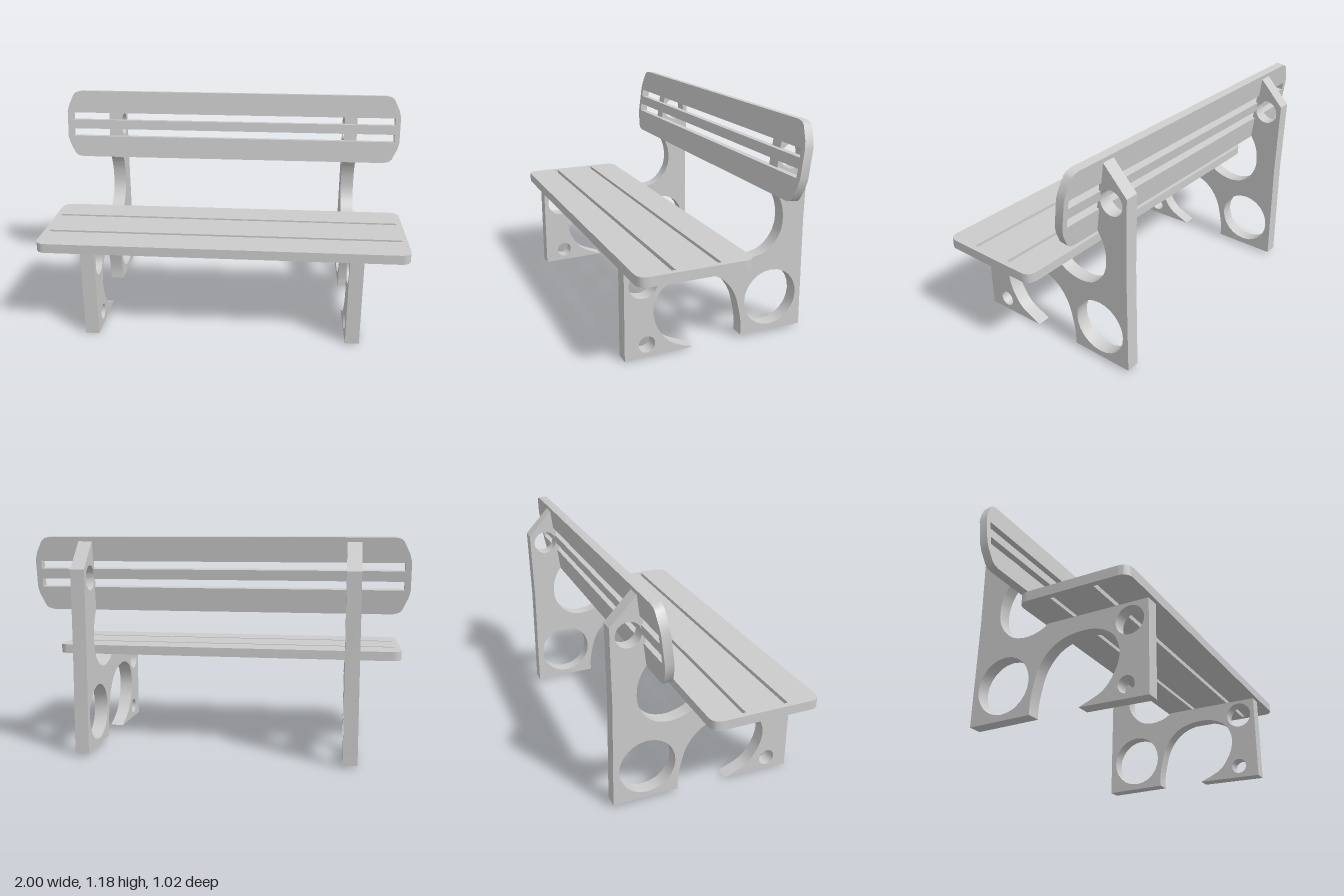
import * as THREE from 'three';
import { toCreasedNormals } from 'three/addons/utils/BufferGeometryUtils.js';

const material = new THREE.MeshStandardMaterial({ color: 0xcccccc });
const v2 = (list) => list.map(([x, y]) => new THREE.Vector2(x, y));

// Flat plate with its edges kept sharp and its curves smooth
function plate(shape, depth) {
  const geometry = new THREE.ExtrudeGeometry(shape, { depth, bevelEnabled: false, curveSegments: 12 });
  return toCreasedNormals(geometry, 0.5);
}

function addSlot(shape, halfWidth, low, high) {
  shape.holes.push(new THREE.Path(v2([
    [-halfWidth, low], [-halfWidth, high], [halfWidth, high], [halfWidth, low],
  ])));
}

function addMesh(group, name, geometry) {
  const mesh = new THREE.Mesh(geometry, material);
  mesh.name = name;
  group.add(mesh);
  return mesh;
}

// Side frame profile, drawn clockwise as (z, y)
function frameGeometry(thickness) {
  const s = new THREE.Shape();
  s.moveTo(0.492, 0);
  s.lineTo(0.125, 0.006);
  // Arch under the seat
  s.splineThru(v2([
    [0.245, 0.06], [0.305, 0.13], [0.334, 0.2], [0.336, 0.27], [0.3, 0.345], [0.22, 0.39],
    [0.13, 0.401], [0.03, 0.385], [-0.05, 0.34], [-0.11, 0.26], [-0.14, 0.16], [-0.153, 0.08], [-0.153, 0.018],
  ]));
  s.lineTo(-0.51, 0.014);
  s.lineTo(-0.503, 0.6);
  s.lineTo(-0.51, 1.004);
  s.lineTo(-0.365, 1.157);
  s.lineTo(-0.315, 0.79);
  s.lineTo(-0.33, 0.778);
  // Hollow between backrest and seat
  s.splineThru(v2([
    [-0.36, 0.725], [-0.377, 0.66], [-0.374, 0.58], [-0.34, 0.51],
    [-0.28, 0.46], [-0.2, 0.444], [-0.12, 0.46], [-0.065, 0.492],
  ]));
  s.lineTo(0.492, 0.492);
  s.closePath();
  // Round cut-outs, wound against the outline: z, y, radius
  for (const [z, y, r] of [
    [0.392, 0.396, 0.076], [0.374, 0.072, 0.044], [-0.323, 0.203, 0.154], [-0.417, 0.954, 0.067],
  ]) {
    s.holes.push(new THREE.Path().absarc(z, y, r, 0, Math.PI * 2, false));
  }
  return plate(s, thickness).translate(0, 0, -thickness / 2).rotateY(-Math.PI / 2);
}

// Slotted seat with rounded corners, drawn as (x, -z)
function seatGeometry() {
  const s = new THREE.Shape();
  const w = 0.99, front = -0.512, back = 0.086, r = 0.06;
  s.moveTo(-w + r, front);
  s.lineTo(w - r, front);
  s.quadraticCurveTo(w, front, w, front + r);
  s.lineTo(w, back - r);
  s.quadraticCurveTo(w, back, w - r, back);
  s.lineTo(-w + r, back);
  s.quadraticCurveTo(-w, back, -w, back - r);
  s.lineTo(-w, front + r);
  s.quadraticCurveTo(-w, front, -w + r, front);
  addSlot(s, 0.96, -0.102, -0.082);
  addSlot(s, 0.96, -0.338, -0.317);
  return plate(s, 0.051).rotateX(-Math.PI / 2);
}

// Slotted backrest with angled, softened ends
function backrestGeometry() {
  const h = 0.398, thickness = 0.046;
  const end = [[0.915, 0], [0.945, 0.008], [0.96, 0.022], [0.99, 0.085], [1, 0.125]];
  const right = [...end, ...end.map(([x, y]) => [x, h - y]).reverse()];
  const left = right.map(([x, y]) => [-x, y]).reverse();
  const s = new THREE.Shape(v2([...right, ...left]));
  addSlot(s, 0.97, 0.126, 0.171);
  addSlot(s, 0.97, 0.225, 0.268);
  return plate(s, thickness).translate(0, 0, -thickness);
}

export function createModel() {
  const group = new THREE.Group();
  group.name = 'bench';

  const frame = frameGeometry(0.075);
  addMesh(group, 'leftSideFrame', frame).position.x = 0.713;
  addMesh(group, 'rightSideFrame', frame).position.x = -0.713;

  addMesh(group, 'seat', seatGeometry()).position.y = 0.489;

  const backrest = addMesh(group, 'backrest', backrestGeometry());
  backrest.position.set(0, 0.781, -0.282);
  backrest.rotation.x = -0.125;

  return group;
}
